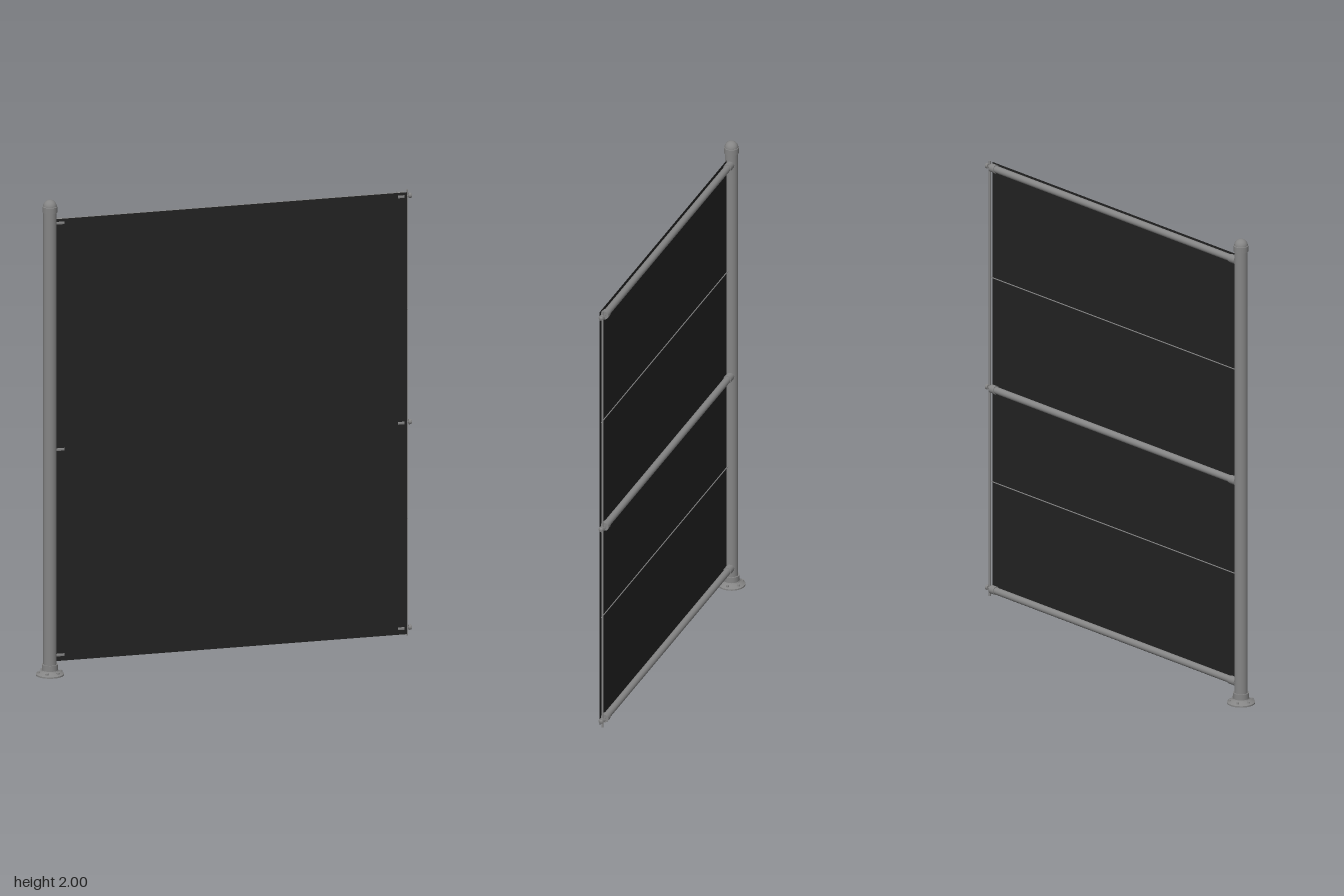
import * as THREE from 'three';

const metal = new THREE.MeshStandardMaterial({ color: 0x858585 });
metal.name = 'brushed steel';
const fabric = new THREE.MeshStandardMaterial({ color: 0x222222 });
fabric.name = 'dark fabric';

const POST_X = -0.73;
const RAIL_Z = -0.003;
const ROD_X = 0.766;

function add(parent, name, geometry, material, x = 0, y = 0, z = 0) {
  const mesh = new THREE.Mesh(geometry, material);
  mesh.name = name;
  mesh.position.set(x, y, z);
  parent.add(mesh);
  return mesh;
}

// Cylinder lying along x between two positions
function barX(parent, name, x0, x1, radius, y, z, segments = 20) {
  const geometry = new THREE.CylinderGeometry(radius, radius, x1 - x0, segments).rotateZ(Math.PI / 2);
  return add(parent, name, geometry, metal, (x0 + x1) / 2, y, z);
}

// Revolved solid; repeated points keep its edges crisp
function lathe(points, segments = 32) {
  const profile = [];
  points.forEach(([r, y], i) => {
    profile.push(new THREE.Vector2(r, y));
    if (i > 0 && i < points.length - 1) profile.push(new THREE.Vector2(r, y));
  });
  return new THREE.LatheGeometry(profile, segments);
}

function buildPost() {
  const post = new THREE.Group();
  post.name = 'post';
  post.position.x = POST_X;
  add(post, 'postTube', new THREE.CylinderGeometry(0.027, 0.027, 1.94, 32), metal, 0, 0.98);

  // Sloping floor flange with a collar around the tube
  add(post, 'baseFlange', lathe([
    [0, 0], [0.057, 0], [0.057, 0.006], [0.036, 0.018], [0.033, 0.022], [0.033, 0.046], [0.027, 0.046],
  ]), metal);
  for (let i = 0; i < 6; i++) {
    const a = (i / 6) * Math.PI * 2;
    add(post, 'flangeScrew', new THREE.CylinderGeometry(0.005, 0.006, 0.007, 10), metal,
      Math.cos(a) * 0.046, 0.0145, Math.sin(a) * 0.046);
  }

  // Collared cap with a rounded top
  add(post, 'capCollar', lathe([[0.027, 1.948], [0.03, 1.948], [0.03, 1.972], [0.027, 1.974]]), metal);
  const dome = new THREE.SphereGeometry(0.028, 32, 10, 0, Math.PI * 2, 0, Math.PI / 2);
  add(post, 'capDome', dome, metal, 0, 1.972);
  return post;
}

function buildRail(y) {
  const rail = new THREE.Group();
  rail.name = 'rail';
  barX(rail, 'railTube', POST_X + 0.02, 0.75, 0.0145, y, RAIL_Z);
  // End sockets
  barX(rail, 'postSocket', POST_X + 0.022, -0.672, 0.0175, y, RAIL_Z);
  barX(rail, 'endSocket', 0.725, 0.752, 0.0175, y, RAIL_Z);
  // Bolt that carries the edge rod, with a rounded knob
  barX(rail, 'endBolt', 0.75, 0.78, 0.005, y, 0, 12);
  barX(rail, 'boltWasher', 0.757, 0.76, 0.01, y, 0, 16);
  barX(rail, 'boltKnob', 0.772, 0.783, 0.011, y, 0, 16);
  const tip = new THREE.SphereGeometry(0.0085, 16, 8);
  tip.scale(0.5, 1, 1);
  add(rail, 'knobTip', tip, metal, 0.7828, y, 0);
  return rail;
}

export function createModel() {
  const model = new THREE.Group();
  model.name = 'privacyScreen';
  model.add(buildPost());
  for (const y of [0.085, 0.95, 1.903]) model.add(buildRail(y));

  // Stretched sheet in front of the rails
  add(model, 'screenPanel', new THREE.BoxGeometry(1.47, 1.86, 0.0015), fabric, 0.028, 0.99, 0.0127);

  // Thin tension wires between the rails
  for (const y of [0.545, 1.425]) barX(model, 'tensionWire', POST_X + 0.02, ROD_X, 0.0022, y, 0.005, 8);

  // Upright rod along the free edge
  add(model, 'edgeRod', new THREE.CylinderGeometry(0.0045, 0.0045, 1.876, 12), metal, ROD_X, 0.99, 0);
  return model;
}
